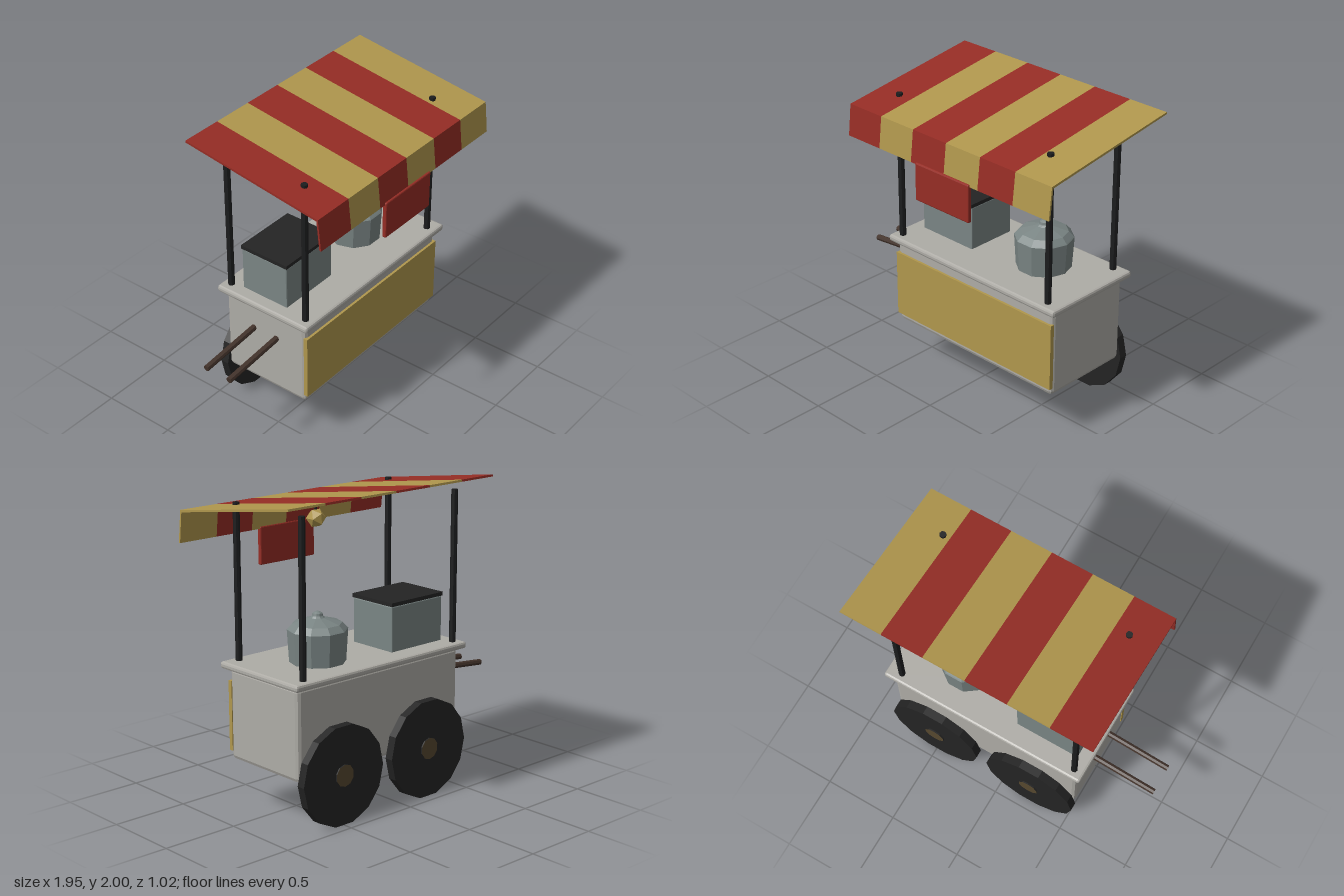
import * as THREE from 'three';
import { RoundedBoxGeometry } from 'three/addons/geometries/RoundedBoxGeometry.js';

const mat = (name, color) => {
  const m = new THREE.MeshStandardMaterial({ color });
  m.name = name;
  return m;
};

// Faceted normals for the low-poly look
const facet = (g) => {
  const f = g.index ? g.toNonIndexed() : g;
  f.computeVertexNormals();
  return f;
};

export function createModel() {
  const cart = new THREE.Group();
  cart.name = 'foodCart';

  const gold = mat('gold', 0xb0974d);
  const red = mat('red', 0x962d25);
  const grey = mat('paleGrey', 0xaeaca6);
  const steel = mat('steel', 0x7a8584);
  const black = mat('black', 0x242424);
  const postBlack = mat('postBlack', 0x1c1d1e);
  const wood = mat('darkWood', 0x43332b);
  const hubBrown = mat('hubBrown', 0x57482f);

  const add = (name, geometry, material) => {
    const mesh = new THREE.Mesh(facet(geometry), material);
    mesh.name = name;
    cart.add(mesh);
    return mesh;
  };

  // Box given by its limits, with optional bevelled edges
  const box = (name, material, [x0, x1], [y0, y1], [z0, z1], bevel = 0) => {
    const size = [x1 - x0, y1 - y0, z1 - z0];
    const g = bevel ? new RoundedBoxGeometry(...size, 1, bevel) : new THREE.BoxGeometry(...size);
    const mesh = add(name, g, material);
    mesh.position.set((x0 + x1) / 2, (y0 + y1) / 2, (z0 + z1) / 2);
    return mesh;
  };

  // Straight round bar between two points
  const bar = (name, material, a, b, radius, sides = 8) => {
    const from = new THREE.Vector3(...a), to = new THREE.Vector3(...b);
    const dir = to.clone().sub(from);
    const mesh = add(name, new THREE.CylinderGeometry(radius, radius, dir.length(), sides), material);
    mesh.position.copy(from).add(to).multiplyScalar(0.5);
    mesh.quaternion.setFromUnitVectors(new THREE.Vector3(0, 1, 0), dir.normalize());
    return mesh;
  };

  // Body, counter and front panel
  box('body', grey, [-0.53, 0.803], [0.318, 0.9], [-0.372, 0.252], 0.026);
  box('counter', grey, [-0.57, 0.845], [0.893, 0.938], [-0.414, 0.296], 0.015);
  box('frontPanel', gold, [-0.53, 0.803], [0.37, 0.815], [0.24, 0.268]);

  // Two big wheels with brown hub caps on the back
  for (const x of [-0.22, 0.495]) {
    const wheel = new THREE.CylinderGeometry(0.32, 0.32, 0.056, 14).rotateY(Math.PI / 2).rotateX(Math.PI / 2);
    add('wheel', wheel, black).position.set(x, 0.312, -0.407);
    const hub = new THREE.CylinderGeometry(0.07, 0.07, 0.074, 10).rotateX(Math.PI / 2);
    add('hub', hub, [black, hubBrown, hubBrown]).position.set(x, 0.315, -0.407);
  }

  // Push handles
  for (const z of [-0.155, 0.025]) {
    bar('handle', wood, [-0.5, 0.714, z], [-0.975, 0.667, z], 0.02);
  }

  // Awning posts
  for (const x of [-0.502, 0.745]) {
    for (const z of [0.234, -0.354]) {
      bar('post', postBlack, [x, 0.92, z], [x, 1.91, z], 0.021);
    }
  }

  // Striped awning: one folded profile per stripe, drawn as (z, y)
  const profile = new THREE.Shape([
    [-0.505, 2], [-0.507, 1.987], [0.464, 1.845], [0.485, 1.655], [0.497, 1.655], [0.475, 1.858],
  ].map(([z, y]) => new THREE.Vector2(z, y)));
  const stripes = 6, left = -0.68, width = 1.655 / stripes;
  for (let i = 0; i < stripes; i++) {
    const g = new THREE.ExtrudeGeometry(profile, { depth: width, bevelEnabled: false }).rotateY(-Math.PI / 2);
    add('awningStripe', g, i % 2 ? gold : red).position.x = left + (i + 1) * width;
  }

  // Blank hanging sign
  box('sign', red, [-0.084, 0.36], [1.424, 1.67], [0.479, 0.508], 0.008);

  // Lamp on a cord
  bar('lampCord', postBlack, [0.14, 1.77, 0.212], [0.14, 1.888, 0.212], 0.009, 6);
  add('lamp', new THREE.IcosahedronGeometry(0.063, 0), gold).position.set(0.14, 1.735, 0.208);

  // Cooking box with a dark lid
  box('cookerBox', steel, [-0.48, -0.047], [0.93, 1.225], [-0.276, 0.071], 0.006);
  box('cookerLid', black, [-0.485, -0.042], [1.227, 1.251], [-0.281, 0.076]);

  // Ten-sided pot with domed lid and knob
  const potProfile = [
    [0, 0.93], [0.173, 0.93], [0.186, 1.14], [0.18, 1.147], [0.15, 1.178],
    [0.045, 1.21], [0.034, 1.222], [0.03, 1.238], [0.014, 1.247], [0, 1.249],
  ].map(([r, y]) => new THREE.Vector2(r, y));
  add('pot', new THREE.LatheGeometry(potProfile, 10).rotateY(Math.PI / 2), steel).position.set(0.405, 0, -0.1);

  return cart;
}
